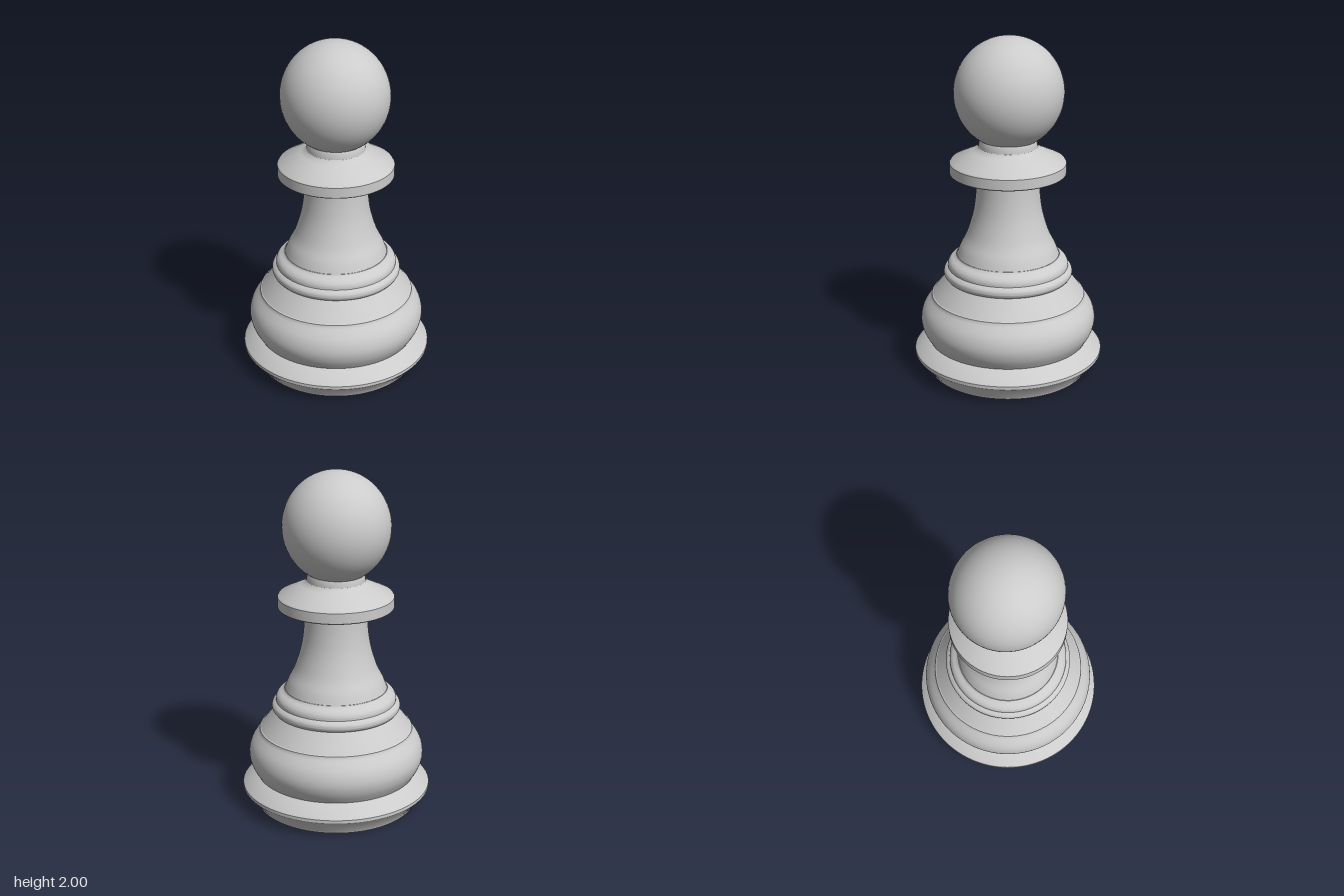
import * as THREE from 'three';
import { toCreasedNormals } from 'three/addons/utils/BufferGeometryUtils.js';

const material = new THREE.MeshStandardMaterial({ color: 0xcccccc });
const vectors = (points) => points.map(([r, y]) => new THREE.Vector2(r, y));
const smooth = (points, steps = 20) => new THREE.SplineCurve(vectors(points)).getPoints(steps);

// Turns a bottom-to-top profile of radius and height around the y axis.
function turned(name, profile) {
  const geometry = toCreasedNormals(new THREE.LatheGeometry(profile, 96), 0.55);
  const mesh = new THREE.Mesh(geometry, material);
  mesh.name = name;
  return mesh;
}

export function createModel() {
  const pawn = new THREE.Group();
  pawn.name = 'chessPawn';

  // Foot: flat underside, flared edge and sloping top
  pawn.add(turned('foot', vectors([
    [0, 0], [0.472, 0], [0.475, 0.012], [0.547, 0.092], [0.555, 0.104],
    [0.555, 0.122], [0.547, 0.132], [0.475, 0.185], [0.462, 0.192], [0, 0.192],
  ])));

  // Rounded belly with a small step at its top
  pawn.add(turned('belly', [
    ...smooth([[0.468, 0.188], [0.502, 0.25], [0.515, 0.315], [0.499, 0.385], [0.452, 0.455]]),
    ...vectors([[0.45, 0.466], [0.443, 0.47]]),
  ]));

  // Shoulder rising from the belly to the rings
  pawn.add(turned('shoulder', smooth([[0.443, 0.47], [0.403, 0.523], [0.36, 0.58]], 8)));

  // Two stacked rings below the stem
  pawn.add(turned('lowerRing', [
    ...vectors([[0.3, 0.578]]),
    ...smooth([[0.364, 0.578], [0.376, 0.596], [0.373, 0.622], [0.352, 0.64]], 12),
  ]));
  pawn.add(turned('upperRing', [
    ...smooth([[0.352, 0.64], [0.35, 0.664], [0.335, 0.685], [0.307, 0.703], [0.301, 0.713]], 14),
    ...vectors([[0.27, 0.713]]),
  ]));

  // Concave stem
  pawn.add(turned('stem', smooth([
    [0.298, 0.713], [0.278, 0.765], [0.239, 0.845], [0.203, 0.965], [0.186, 1.08], [0.18, 1.21],
  ], 30)));

  // Collar with a flat underside, and the short neck above it
  pawn.add(turned('collar', vectors([
    [0.1, 1.207], [0.33, 1.207], [0.335, 1.212], [0.335, 1.272], [0.328, 1.282],
    [0.2, 1.342], [0.177, 1.354], [0.168, 1.366], [0.166, 1.395], [0.16, 1.41],
  ])));

  // Slightly oval head
  const head = new THREE.Mesh(new THREE.SphereGeometry(1, 64, 40), material);
  head.name = 'head';
  head.scale.set(0.308, 0.32, 0.316);
  head.position.set(0, 1.68, -0.007);
  pawn.add(head);

  return pawn;
}
